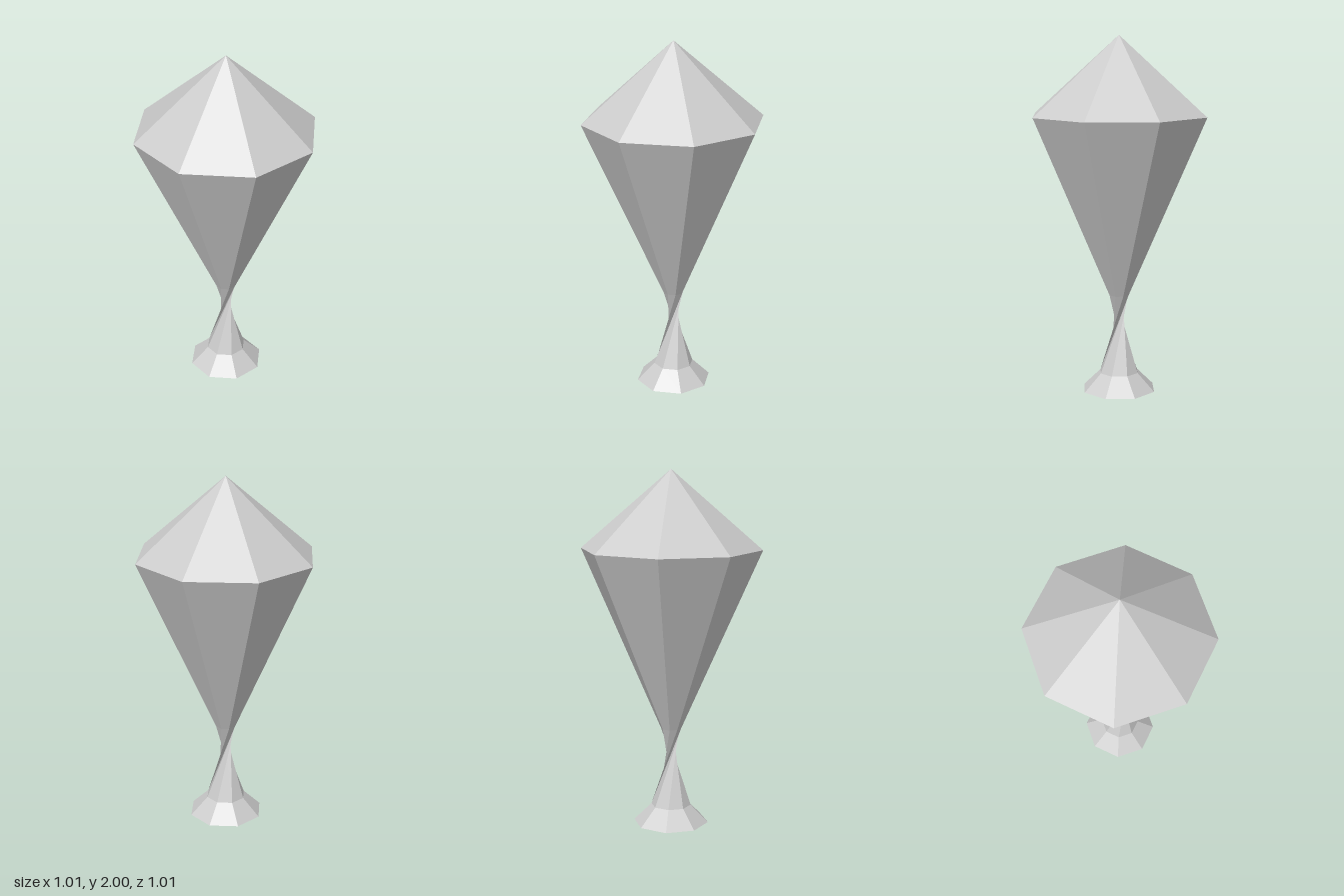
import * as THREE from 'three';

const SIDES = 8;

export function createModel() {
  const group = new THREE.Group();
  const material = new THREE.MeshStandardMaterial({
    color: 0xcccccc, flatShading: true, side: THREE.DoubleSide,
  });

  // Eight-sided turned part from [radius, height] pairs, bottom to top
  const turned = (name, profile) => {
    const points = profile.map(([r, y]) => new THREE.Vector2(r, y));
    const mesh = new THREE.Mesh(new THREE.LatheGeometry(points, SIDES), material);
    mesh.name = name;
    group.add(mesh);
  };

  // Flared foot with a closed underside
  turned('foot', [[0, 0], [0.213, 0], [0.113, 0.1]]);

  // Pinched stem: the radius changes sign, so the facets cross at the waist
  turned('stem', [[0.113, 0.1], [-0.058, 0.55]]);

  // Long tapering body
  turned('body', [[0.058, 0.55], [0.505, 1.565]]);

  // Pointed cap
  turned('cap', [[0.505, 1.565], [0, 2]]);

  return group;
}
